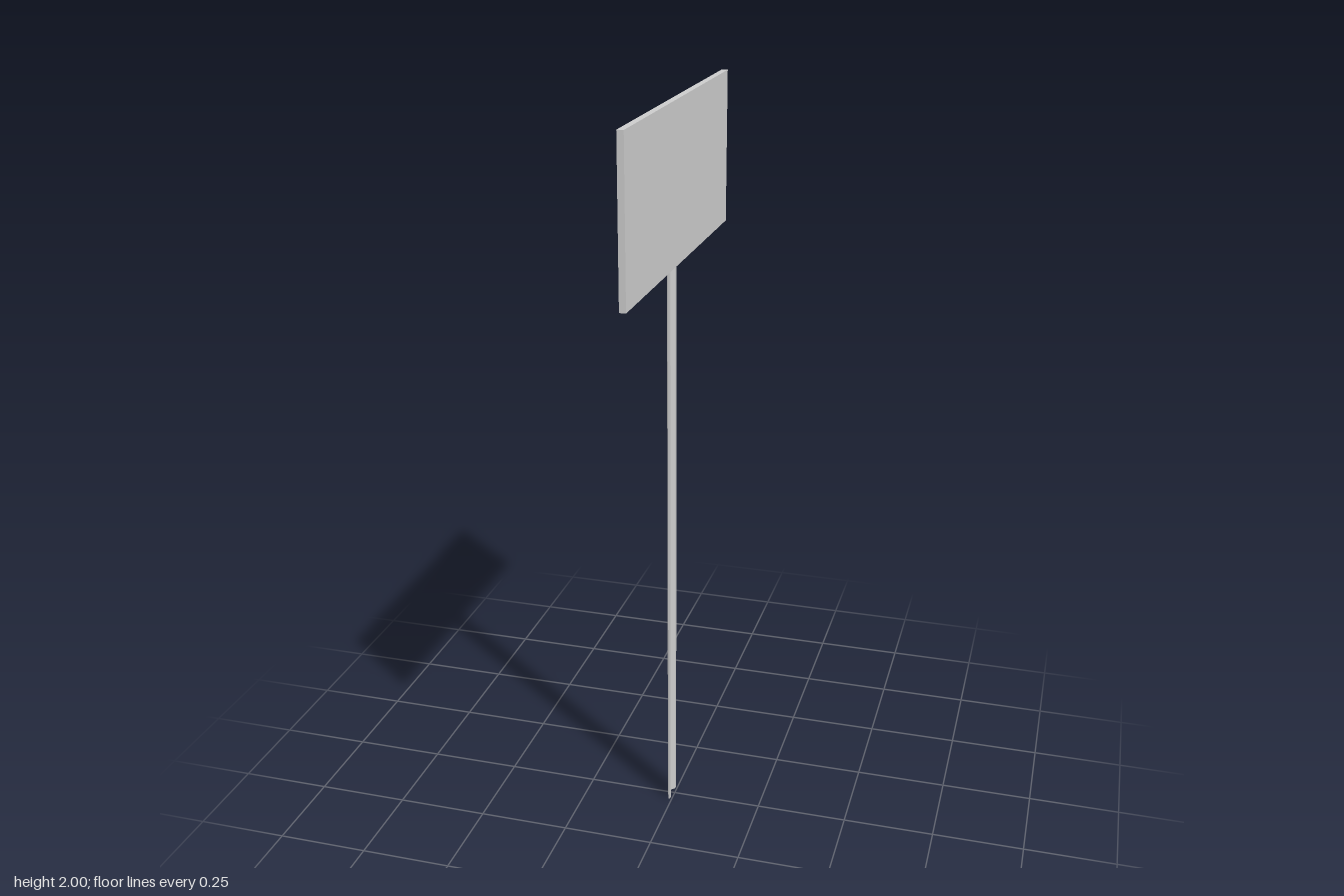
import * as THREE from 'three';

const material = new THREE.MeshStandardMaterial({ color: 0xcccccc, flatShading: true, side: THREE.DoubleSide });

const BOTTOM = 1.59, TOP = 2, HALF = 0.465, POST_TOP = 1.93, THICKNESS = 0.0168;
const BACK = -0.005;

function addMesh(group, name, geometry) {
  const mesh = new THREE.Mesh(geometry, material);
  mesh.name = name;
  group.add(mesh);
  return mesh;
}

// Thin hat-section channel, extruded upward
function postGeometry() {
  const outer = [[BACK, 0.033], [-0.0095, 0.033], [-0.0095, 0.0215], [-0.0168, 0.0135]];
  const inner = [[-0.0143, 0.012], [BACK, 0.021]];
  const mirror = (pts) => pts.map(([x, z]) => [x, -z]).reverse();
  const loop = [...outer, ...mirror(outer), ...mirror(inner), ...inner];
  const shape = new THREE.Shape(loop.map(([x, z]) => new THREE.Vector2(x, -z)));
  const geometry = new THREE.ExtrudeGeometry(shape, { depth: POST_TOP, bevelEnabled: false });
  return geometry.rotateX(-Math.PI / 2);
}

// Half of the shallow raised back, sloping from the panel edge to the post flange
function backGeometry(side) {
  const a = [0, TOP, HALF], b = [0, BOTTOM, HALF];
  const c = [BACK, BOTTOM, 0.021], d = [BACK, POST_TOP, 0.021];
  const top = [0, TOP, 0], low = [0, BOTTOM, 0];
  const triangles = [[a, d, b], [b, d, c], [a, top, d], [b, c, low]];
  const positions = triangles.flatMap(([p, q, r]) => (side > 0 ? [p, q, r] : [p, r, q]))
    .flatMap(([x, y, z]) => [x, y, z * side]);
  const geometry = new THREE.BufferGeometry();
  geometry.setAttribute('position', new THREE.Float32BufferAttribute(positions, 3));
  geometry.computeVertexNormals();
  return geometry;
}

export function createModel() {
  const group = new THREE.Group();
  group.name = 'signpost';

  addMesh(group, 'post', postGeometry());

  // Flat rectangular sign panel facing +x
  const panel = addMesh(group, 'signPanel', new THREE.BoxGeometry(THICKNESS, TOP - BOTTOM, HALF * 2));
  panel.position.set(THICKNESS / 2, (TOP + BOTTOM) / 2, 0);

  addMesh(group, 'panelBackFront', backGeometry(1));
  addMesh(group, 'panelBackRear', backGeometry(-1));

  return group;
}
